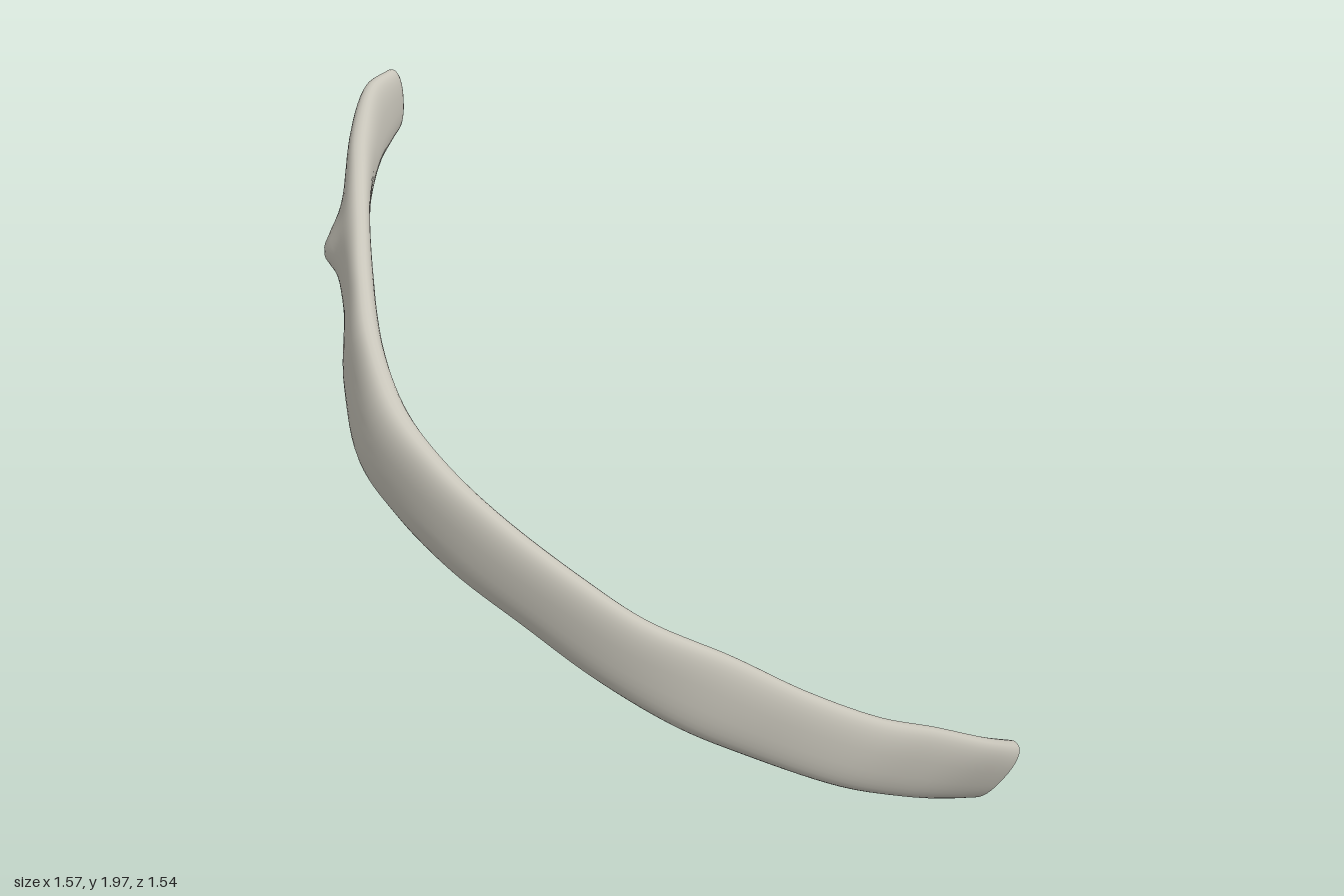
import * as THREE from 'three';

// Stations from the head to the free end: upper edge xyz, lower edge xyz, half thickness
const STATIONS = [
  [-0.745, 1.98, 0.19, -0.765, 1.80, 0.175, 0.028],
  [-0.71, 1.97, 0.28, -0.735, 1.775, 0.235, 0.034],
  [-0.63, 1.89, 0.38, -0.675, 1.75, 0.32, 0.036],
  [-0.55, 1.82, 0.44, -0.605, 1.67, 0.42, 0.036],
  [-0.45, 1.74, 0.51, -0.51, 1.575, 0.52, 0.036],
  [-0.34, 1.65, 0.59, -0.40, 1.47, 0.58, 0.037],
  [-0.20, 1.55, 0.67, -0.30, 1.345, 0.66, 0.044],
  [-0.06, 1.43, 0.705, -0.17, 1.225, 0.72, 0.05],
  [0.07, 1.32, 0.68, -0.05, 1.13, 0.71, 0.046],
  [0.20, 1.20, 0.61, 0.08, 1.02, 0.66, 0.043],
  [0.36, 1.04, 0.48, 0.23, 0.885, 0.555, 0.042],
  [0.46, 0.92, 0.36, 0.35, 0.75, 0.445, 0.04],
  [0.57, 0.79, 0.17, 0.48, 0.60, 0.29, 0.039],
  [0.66, 0.66, 0.0, 0.575, 0.48, 0.12, 0.038],
  [0.735, 0.53, -0.2, 0.675, 0.34, -0.10, 0.037],
  [0.755, 0.42, -0.4, 0.685, 0.21, -0.32, 0.036],
  [0.765, 0.30, -0.6, 0.67, 0.105, -0.51, 0.037],
  [0.74, 0.20, -0.765, 0.645, 0.01, -0.695, 0.04],
];
const RINGS = 110, SIDES = 32;

function curve(read) {
  return new THREE.CatmullRomCurve3(STATIONS.map((s) => new THREE.Vector3(...read(s))), false, 'centripetal');
}

function createShaftGeometry() {
  // Interpolate the stations uniformly so that both edges stay paired
  const upper = curve((s) => s.slice(0, 3));
  const lower = curve((s) => s.slice(3, 6));
  const middle = curve((s) => [0, 1, 2].map((k) => (s[k] + s[k + 3]) / 2));
  const thickness = (t) => {
    const f = t * (STATIONS.length - 1);
    const i = Math.min(Math.floor(f), STATIONS.length - 2);
    return THREE.MathUtils.lerp(STATIONS[i][6], STATIONS[i + 1][6], THREE.MathUtils.smoothstep(f - i, 0, 1));
  };

  // Each ring is [position along, scale of section, push beyond the end]
  const rings = [];
  for (const a of [0.15, 0.4, 0.7, 1.0, 1.25]) rings.push([0, Math.sin(a), -0.035 * Math.cos(a)]);
  for (let i = 0; i <= RINGS; i++) rings.push([i / RINGS, 1, 0]);
  rings.push([1, 0.985, 0.006], [1, 0.94, 0.009], [1, 0.85, 0.009], [1, 0.02, 0.009]);

  const positions = [], indices = [];
  const tubercle = new THREE.Vector3(-0.565, 1.63, 0.5);
  const bulge = new THREE.Vector3(-0.018, -0.015, 0.042);
  rings.forEach(([t, scale, push], r) => {
    const top = upper.getPoint(t), bottom = lower.getPoint(t);
    const centre = top.clone().add(bottom).multiplyScalar(0.5);
    const along = middle.getTangent(t);
    const up = top.clone().sub(bottom).multiplyScalar(0.5);
    const out = along.clone().cross(up).normalize().multiplyScalar(thickness(t));
    centre.addScaledVector(along, push);
    for (let j = 0; j < SIDES; j++) {
      const a = (j / SIDES) * Math.PI * 2;
      const soft = (v) => Math.sign(v) * Math.abs(v) ** 0.85;
      const p = centre.clone()
        .addScaledVector(up, soft(Math.cos(a)) * scale)
        .addScaledVector(out, soft(Math.sin(a)) * scale);
      // Tubercle: a small knob swelling from the outer lower side
      p.addScaledVector(bulge, Math.exp(-p.distanceToSquared(tubercle) / 0.0045));
      positions.push(p.x, p.y, p.z);
      if (r < rings.length - 1) {
        const k = r * SIDES + j, n = r * SIDES + ((j + 1) % SIDES);
        indices.push(k, n, k + SIDES, n, n + SIDES, k + SIDES);
      }
    }
  });

  // Close both ends
  const last = (rings.length - 1) * SIDES;
  for (let j = 1; j < SIDES - 1; j++) {
    indices.push(0, j + 1, j, last, last + j, last + j + 1);
  }

  const geometry = new THREE.BufferGeometry();
  geometry.setAttribute('position', new THREE.Float32BufferAttribute(positions, 3));
  geometry.setIndex(indices);
  geometry.computeVertexNormals();
  return geometry;
}

export function createModel() {
  const bone = new THREE.MeshStandardMaterial({ color: 0xc8c5ba });
  bone.name = 'bone';
  const group = new THREE.Group();
  group.name = 'rib';
  const shaft = new THREE.Mesh(createShaftGeometry(), bone);
  shaft.name = 'ribBone';
  group.add(shaft);
  return group;
}
